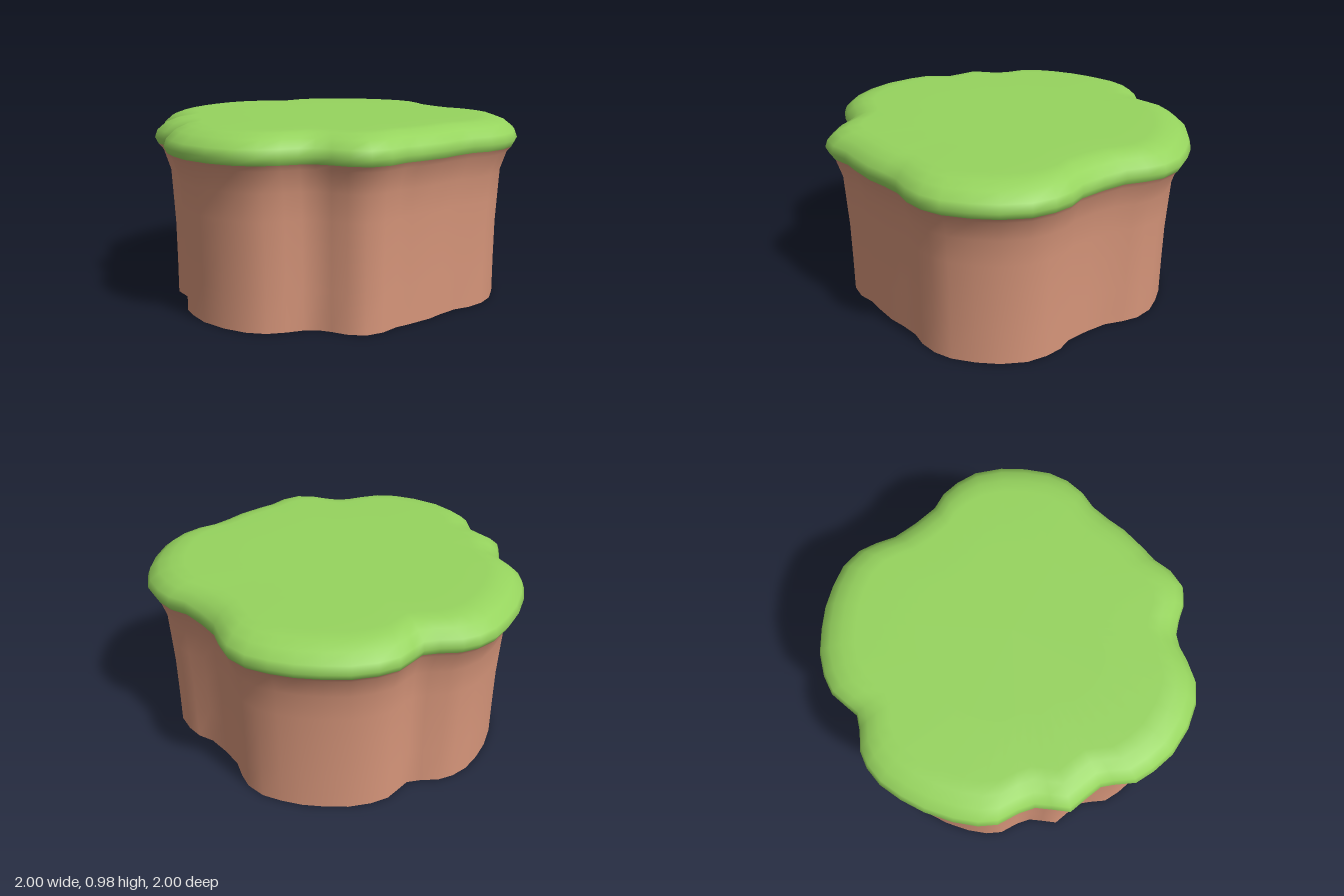
import * as THREE from 'three';

// Wavy plan outline as x, z pairs, starting at the back and passing the +x side
const OUTLINE = [
  0, -1, 0.12, -0.99, 0.23, -0.94, 0.3, -0.87, 0.37, -0.78, 0.48, -0.7, 0.6, -0.63, 0.7, -0.61,
  0.79, -0.56, 0.88, -0.48, 0.95, -0.35, 0.985, -0.22, 1, -0.08, 0.98, 0.03, 0.93, 0.13, 0.86, 0.21,
  0.81, 0.31, 0.77, 0.41, 0.69, 0.54, 0.64, 0.61, 0.6, 0.71, 0.53, 0.79, 0.43, 0.815, 0.34, 0.81,
  0.26, 0.815, 0.19, 0.85, 0.12, 0.91, 0.03, 0.97, -0.08, 0.995, -0.22, 0.985, -0.37, 0.94,
  -0.48, 0.87, -0.56, 0.8, -0.6, 0.7, -0.63, 0.64, -0.7, 0.59, -0.79, 0.53, -0.805, 0.44,
  -0.82, 0.36, -0.87, 0.29, -0.95, 0.21, -0.985, 0.12, -1, 0, -0.995, -0.15, -0.97, -0.28,
  -0.93, -0.4, -0.87, -0.49, -0.8, -0.55, -0.7, -0.59, -0.63, -0.63, -0.6, -0.7, -0.56, -0.79,
  -0.48, -0.865, -0.37, -0.93, -0.24, -0.97, -0.12, -0.995,
];

// Vertical profile: [height, outline scale]
const PROFILE = [
  [0, 0.9], [0.2, 0.9], [0.4, 0.902], [0.55, 0.91], [0.69, 0.918], [0.8, 0.955], [0.83, 0.982],
  [0.865, 1], [0.905, 0.985], [0.945, 0.935], [0.968, 0.87], [0.975, 0.8], [0.975, 0.5],
];
const GRASS_START = 6; // profile ring where soil turns to grass

export function createModel() {
  const count = OUTLINE.length / 2;
  const positions = [];
  for (const [y, s] of PROFILE) {
    for (let i = 0; i < count; i++) positions.push(OUTLINE[2 * i] * s, y, OUTLINE[2 * i + 1] * s);
  }
  const centre = positions.length / 3;
  positions.push(0, 0.975, 0);

  // Skin the rings, sorting faces into soil and grass
  const soil = [], grass = [];
  const last = PROFILE.length - 1;
  for (let j = 0; j < last; j++) {
    const target = j < GRASS_START ? soil : grass;
    for (let i = 0; i < count; i++) {
      const a = j * count + i, b = j * count + (i + 1) % count;
      target.push(a, a + count, b, b, a + count, b + count);
    }
  }
  for (let i = 0; i < count; i++) grass.push(centre, last * count + (i + 1) % count, last * count + i);

  // Shared normals keep the seam between soil and grass smooth
  const shell = new THREE.BufferGeometry();
  shell.setAttribute('position', new THREE.Float32BufferAttribute(positions, 3));
  shell.setIndex([...soil, ...grass]);
  shell.computeVertexNormals();

  const group = new THREE.Group();
  group.name = 'floatingGround';
  const addPart = (name, faces, color) => {
    const geometry = shell.clone().setIndex(faces).toNonIndexed();
    const material = new THREE.MeshStandardMaterial({ color, side: THREE.DoubleSide });
    const mesh = new THREE.Mesh(geometry, material);
    mesh.name = name;
    group.add(mesh);
  };
  addPart('soilWall', soil, 0xd6957a); // open underneath
  addPart('grassTop', grass, 0x96d45e);
  return group;
}
